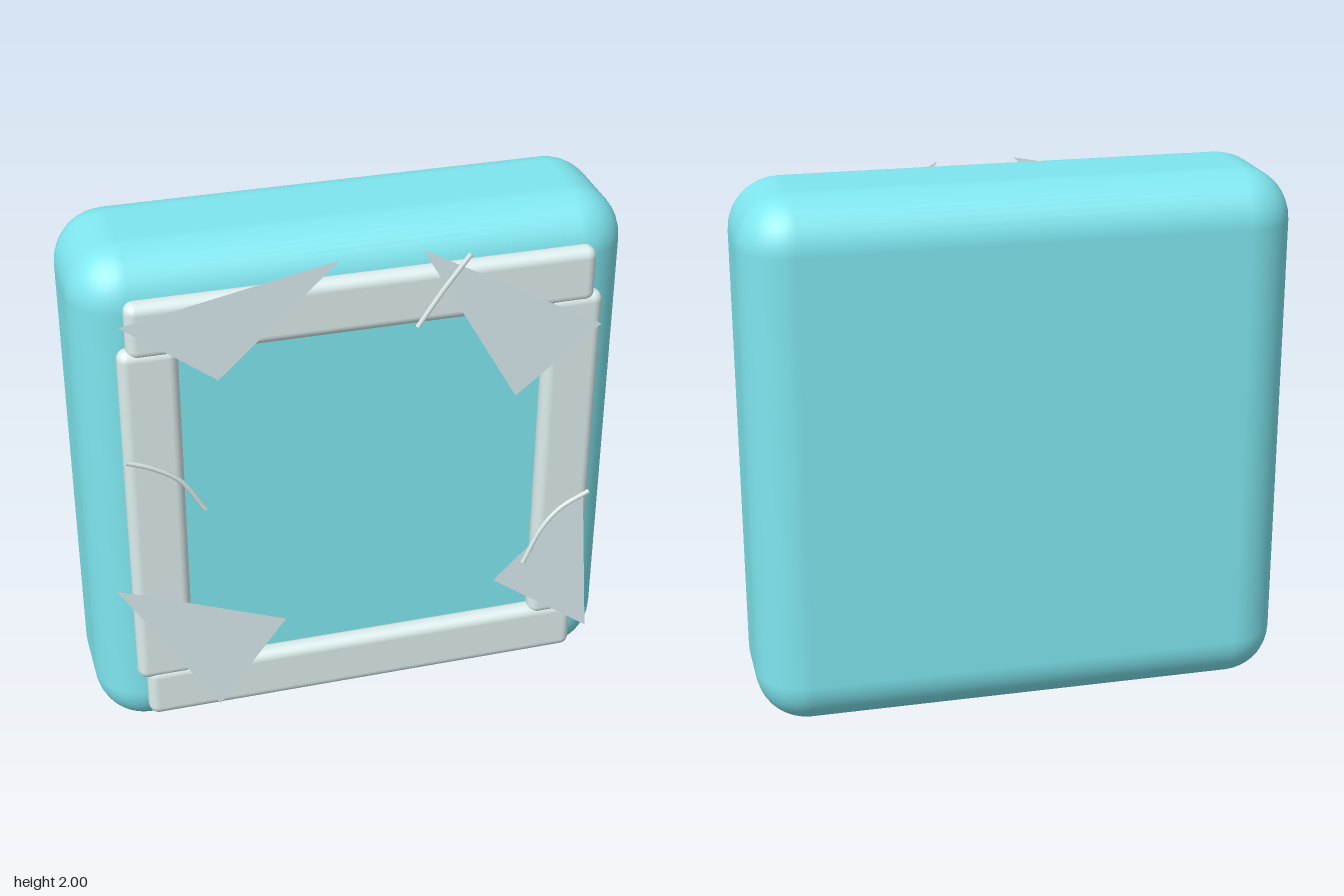
import * as THREE from 'three';
import { RoundedBoxGeometry } from 'three/addons/geometries/RoundedBoxGeometry.js';

export function createModel() {
  const group = new THREE.Group();
  const blue = new THREE.MeshStandardMaterial({ color: 0x7fe6ef });
  const pale = new THREE.MeshStandardMaterial({ color: 0xdcecec });
  const sheet = new THREE.MeshStandardMaterial({ color: 0xd8ebf0, side: THREE.DoubleSide });

  const add = (name, geometry, material) => {
    const mesh = new THREE.Mesh(geometry, material);
    mesh.name = name;
    group.add(mesh);
    return mesh;
  };

  // Thick rounded slab
  add('body', new RoundedBoxGeometry(2, 2, 0.6, 5, 0.19), blue).position.set(0, 1, -0.047);

  // Four rounded bars forming a raised frame on the front
  const bar = (name, w, h, x, y) =>
    add(name, new RoundedBoxGeometry(w, h, 0.08, 4, 0.037), pale).position.set(x, y, 0.29);
  bar('frameTop', 1.67, 0.21, 0, 1.77);
  bar('frameBottom', 1.67, 0.21, 0, 0.24);
  for (const [name, side] of [['frameLeft', 1], ['frameRight', -1]]) {
    bar(name, 0.21, 1.39, side * 0.763, 1.005);
  }

  // Flat triangular shards over the corners
  const shards = {
    shardTopRight: [[-0.86, 1.81], [-0.53, 1.56], [-0.1, 1.96]],
    shardTopLeft: [[0.19, 1.96], [0.55, 1.33], [0.86, 1.58]],
    shardBottomRight: [[-0.93, 0.745], [-0.57, 0.15], [-0.31, 0.5]],
    shardBottomLeft: [[0.5, 0.52], [0.89, 0.23], [0.84, 0.86]],
  };
  for (const [name, corners] of Object.entries(shards)) {
    const shape = new THREE.Shape(corners.map(([x, y]) => new THREE.Vector2(x, y)));
    add(name, new THREE.ShapeGeometry(shape), sheet).position.z = 0.335;
  }

  // Thin curved cracks crossing the frame
  const cracks = {
    crackRight: [[-0.865, 1.285], [-0.78, 1.25], [-0.68, 1.18], [-0.595, 1.045]],
    crackTop: [[0.175, 1.668], [0.265, 1.8], [0.36, 1.925]],
    crackLeft: [[0.86, 0.868], [0.75, 0.81], [0.68, 0.73], [0.613, 0.585]],
  };
  for (const [name, points] of Object.entries(cracks)) {
    const curve = new THREE.CatmullRomCurve3(points.map(([x, y]) => new THREE.Vector3(x, y, 0.34)));
    add(name, new THREE.TubeGeometry(curve, 20, 0.009, 6), pale);
  }

  return group;
}
